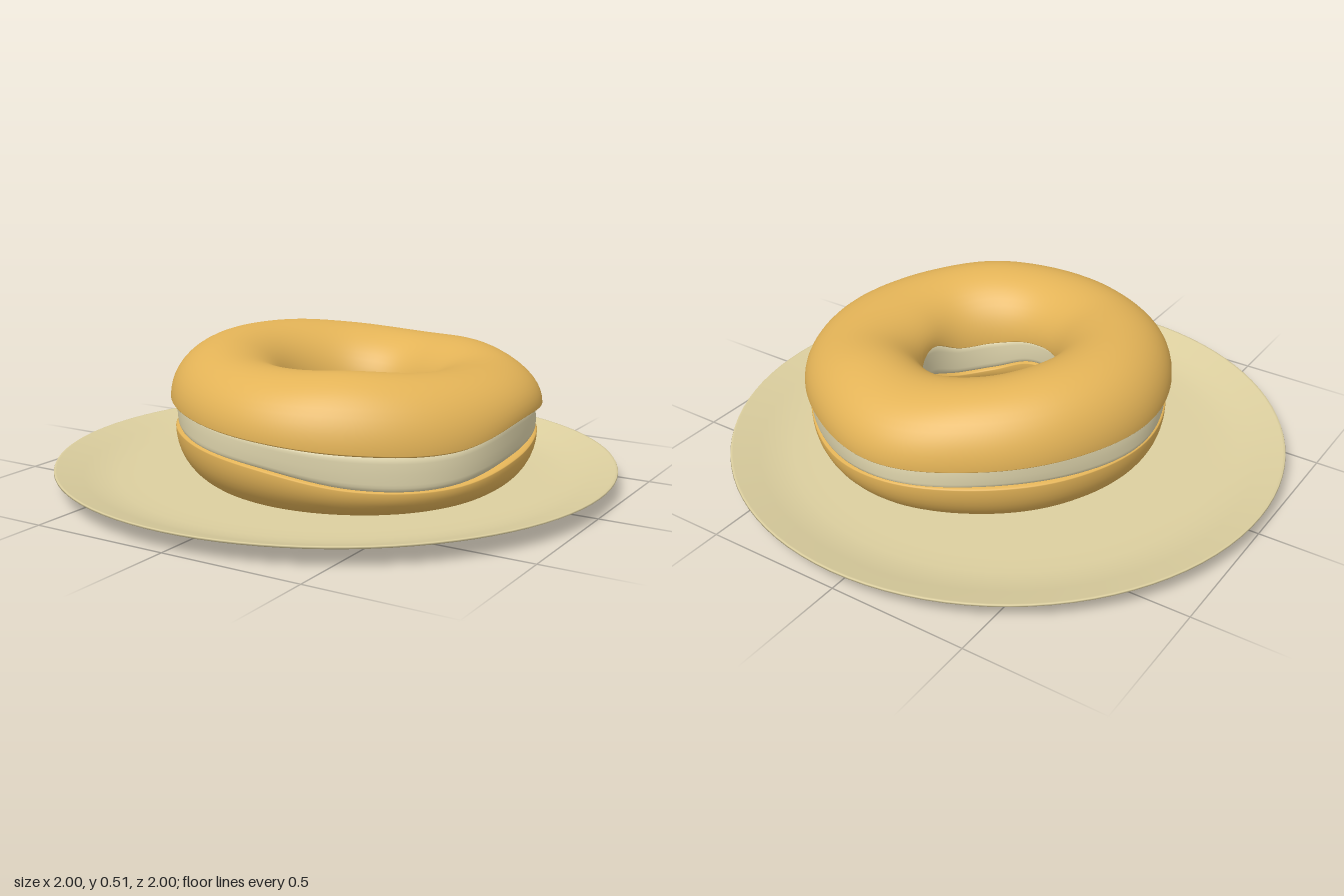
import * as THREE from 'three';

const CENTRE_X = 0.08;
const CREST_R = 0.45;   // radius of the ring's mid line
const HOLE_R = 0.24;

// Hand-shaped irregularities, one value per 30 degrees starting at +x towards +z
const OUTER = [0.65, 0.655, 0.652, 0.657, 0.645, 0.65, 0.66, 0.646, 0.645, 0.68, 0.66, 0.658];
const CREST = [0.45, 0.463, 0.48, 0.473, 0.478, 0.5, 0.512, 0.508, 0.485, 0.462, 0.465, 0.445];
const BAND_TOP = [0.305, 0.252, 0.26, 0.285, 0.302, 0.315, 0.302, 0.295, 0.28, 0.27, 0.28, 0.292];
const BAND_LOW = [0.165, 0.125, 0.135, 0.185, 0.202, 0.21, 0.205, 0.2, 0.195, 0.19, 0.165, 0.2];

// Smooth periodic interpolation of one of the tables
function at(table, a) {
  const n = table.length;
  const t = (a / (Math.PI * 2)) * n;
  const i = Math.floor(t);
  const f = t - i;
  const [p, q, r, s] = [-1, 0, 1, 2].map((k) => table[(i + k + n) % n]);
  return q + 0.5 * f * (r - p + f * (2 * p - 5 * q + 4 * r - s + f * (3 * (q - r) + s - p)));
}

// Closed ring whose cross-section section(a, phi) returns [radius, height]
function ring(name, material, section, around = 120, sides = 48) {
  const pos = [];
  const index = [];
  for (let i = 0; i < around; i++) {
    const a = (i / around) * Math.PI * 2;
    for (let j = 0; j < sides; j++) {
      const [r, y] = section(a, (j / sides) * Math.PI * 2);
      pos.push(CENTRE_X + r * Math.cos(a), y, r * Math.sin(a));
      const i2 = (i + 1) % around;
      const j2 = (j + 1) % sides;
      const p = i * sides + j, q = i * sides + j2, s = i2 * sides + j, t = i2 * sides + j2;
      index.push(p, q, s, q, t, s);
    }
  }
  const geometry = new THREE.BufferGeometry();
  geometry.setAttribute('position', new THREE.Float32BufferAttribute(pos, 3));
  geometry.setIndex(index);
  geometry.computeVertexNormals();
  const mesh = new THREE.Mesh(geometry, material);
  mesh.name = name;
  return mesh;
}

// Egg-shaped section point: separate widths in/out and heights up/down
function oval(phi, outer, inner, y, up, down, power = 1) {
  const soft = (v) => Math.sign(v) * Math.pow(Math.abs(v), power);
  const c = soft(Math.cos(phi));
  const s = soft(Math.sin(phi));
  return [CREST_R + c * (c > 0 ? outer - CREST_R : CREST_R - inner), y + s * (s > 0 ? up : down)];
}

export function createModel() {
  const crust = new THREE.MeshStandardMaterial({ color: 0xe3b357 });
  crust.name = 'golden crust';
  const cream = new THREE.MeshStandardMaterial({ color: 0xdcd2aa });
  cream.name = 'cream';
  const ceramic = new THREE.MeshStandardMaterial({ color: 0xdccf9f });
  ceramic.name = 'plate ceramic';

  const model = new THREE.Group();
  model.name = 'filledBagelOnPlate';

  // Shallow plate with a sloping rim
  const profile = [
    [0, 0], [0.4, 0], [0.76, 0.003], [0.82, 0.01], [0.88, 0.026], [0.99, 0.06],
    [1, 0.065], [0.998, 0.07], [0.99, 0.07], [0.9, 0.042], [0.84, 0.026], [0.78, 0.019],
    [0.7, 0.017], [0.3, 0.017], [0, 0.017],
  ].map(([x, y]) => new THREE.Vector2(x, y));
  const plate = new THREE.Mesh(new THREE.LatheGeometry(profile, 96), ceramic);
  plate.name = 'plate';
  model.add(plate);

  const bagel = new THREE.Group();
  bagel.name = 'bagel';
  model.add(bagel);

  // Lower half, rounded underneath and flat where it was cut
  bagel.add(ring('bottomHalf', crust, (a, phi) => {
    const y = at(BAND_LOW, a);
    return oval(phi, at(OUTER, a) - 0.015, HOLE_R + 0.01, y, 0.02, y - 0.016);
  }));

  // Filling, squeezed and gently rippled between the halves
  bagel.add(ring('filling', cream, (a, phi) => {
    const low = at(BAND_LOW, a) - 0.012;
    const top = at(BAND_TOP, a) + 0.012;
    const ripple = 0.006 * Math.sin(5 * a + 1) * Math.sin(2 * phi) - 0.004 * Math.cos(3 * a);
    const half = (top - low) / 2;
    return oval(phi, at(OUTER, a) - 0.02 + ripple, HOLE_R + 0.015, low + half, half, half, 0.4);
  }));

  // Upper half, domed with an uneven crest
  bagel.add(ring('topHalf', crust, (a, phi) => {
    const y = at(BAND_TOP, a);
    return oval(phi, at(OUTER, a), HOLE_R, y, at(CREST, a) - y, 0.022);
  }));

  return model;
}
